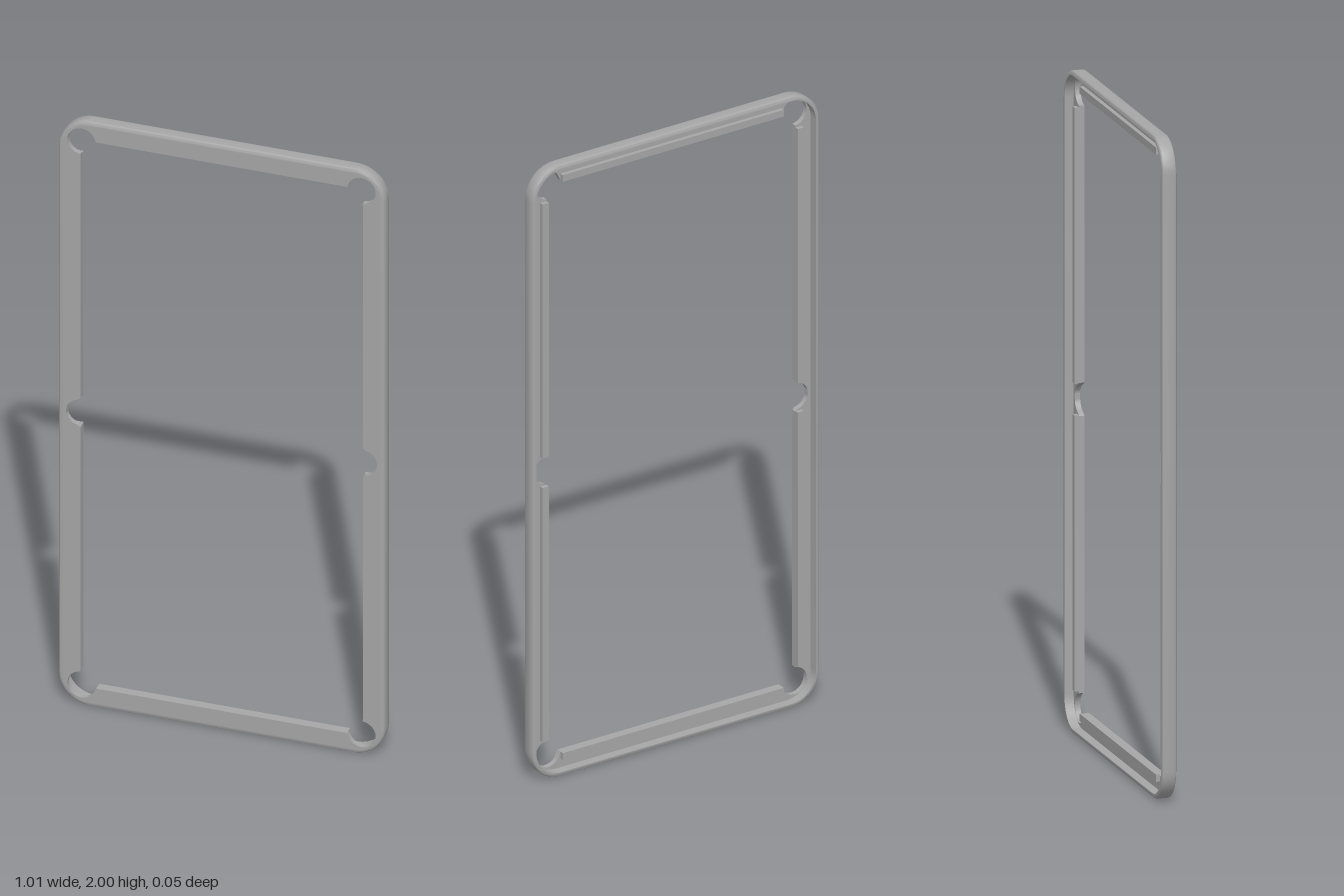
import * as THREE from 'three';
import { toCreasedNormals } from 'three/addons/utils/BufferGeometryUtils.js';

const W = 0.505, H = 1, R = 0.1, D = 0.0225; // half width, half height, corner radius, half depth
const RIM = 0.014; // rim thickness
const IX = 0.437, IY = 0.935; // half size of the opening

// Rounded rectangle, counter-clockwise, inset by o
function outline(o, steps = 12) {
  const pts = [];
  [[1, 1], [-1, 1], [-1, -1], [1, -1]].forEach(([sx, sy], q) => {
    for (let i = 0; i <= steps; i++) {
      const a = (q + i / steps) * Math.PI / 2;
      pts.push(new THREE.Vector2(
        sx * (W - R) + (R - o) * Math.cos(a), sy * (H - R) + (R - o) * Math.sin(a)));
    }
  });
  return pts;
}

// Closed profile of [inset, z] points swept round the outline
function sweep(profile) {
  const rings = profile.map(([o, z]) => outline(o).map(p => [p.x, p.y, z]));
  const n = rings[0].length, m = rings.length, pos = [];
  for (let j = 0; j < m; j++) for (let i = 0; i < n; i++) {
    const k = (i + 1) % n, l = (j + 1) % m;
    const a = rings[j][i], b = rings[j][k], c = rings[l][k], d = rings[l][i];
    pos.push(...a, ...b, ...c, ...a, ...c, ...d);
  }
  const g = new THREE.BufferGeometry();
  g.setAttribute('position', new THREE.Float32BufferAttribute(pos, 3));
  return toCreasedNormals(g, 0.7);
}

// Opening with round corner reliefs and a round notch halfway up each side
function opening() {
  const quarter = [], r = 0.044;
  const arc = (cx, cy, a0, a1, n) => {
    for (let i = 0; i <= n; i++) {
      const a = THREE.MathUtils.degToRad(a0 + (a1 - a0) * i / n);
      quarter.push([cx + r * Math.cos(a), cy + r * Math.sin(a)]);
    }
  };
  arc(IX, 0, 0, 80, 8);
  quarter.push([IX, 0.05], [IX, 0.878]);
  arc(0.433, 0.93, -85, 140, 20);
  quarter.push([0.388, IY]);
  const back = quarter.slice().reverse();
  const flip = (list, sx, sy) => list.map(([x, y]) => new THREE.Vector2(x * sx, y * sy));
  return [...flip(quarter, 1, 1), ...flip(back, -1, 1).slice(0, -1),
    ...flip(quarter, -1, -1), ...flip(back, 1, -1).slice(0, -1)];
}

export function createModel() {
  const group = new THREE.Group();
  const grey = new THREE.MeshStandardMaterial({ color: 0xa6a6a6 });
  grey.name = 'grey';
  const add = (name, geometry, x = 0, y = 0, z = 0) => {
    const mesh = new THREE.Mesh(geometry, grey);
    mesh.name = name;
    mesh.position.set(x, y + H, z);
    group.add(mesh);
  };

  // Outer rim with rounded outside edges
  const f = 0.009, profile = [];
  for (let i = 0; i <= 5; i++) {
    const a = (1 - i / 5) * Math.PI / 2;
    profile.push([f - f * Math.cos(a), -D + f - f * Math.sin(a)]);
  }
  for (let i = 0; i <= 5; i++) {
    const a = i / 5 * Math.PI / 2;
    profile.push([f - f * Math.cos(a), D - f + f * Math.sin(a)]);
  }
  profile.push([RIM, D], [RIM, -D]);
  add('outerRim', sweep(profile));

  // Front flange with cut-outs
  const backZ = 0.006;
  const shape = new THREE.Shape(outline(RIM));
  shape.holes.push(new THREE.Path(opening()));
  const plate = new THREE.ExtrudeGeometry(shape, { depth: D - backZ, bevelEnabled: false });
  add('frontFlange', toCreasedNormals(plate, 0.6), 0, 0, backZ);

  // Raised inner lips behind the flange, leaving a groove next to the rim
  const lip = 0.022, lipDepth = 0.013, z = backZ - lipDepth / 2;
  for (const s of [-1, 1]) {
    for (const t of [-1, 1]) {
      add('sideLip', new THREE.BoxGeometry(lip, 0.832, lipDepth), s * (IX + lip / 2), t * 0.464, z);
    }
    add('endLip', new THREE.BoxGeometry(0.776, lip, lipDepth), 0, s * (IY + lip / 2), z);
  }
  return group;
}
